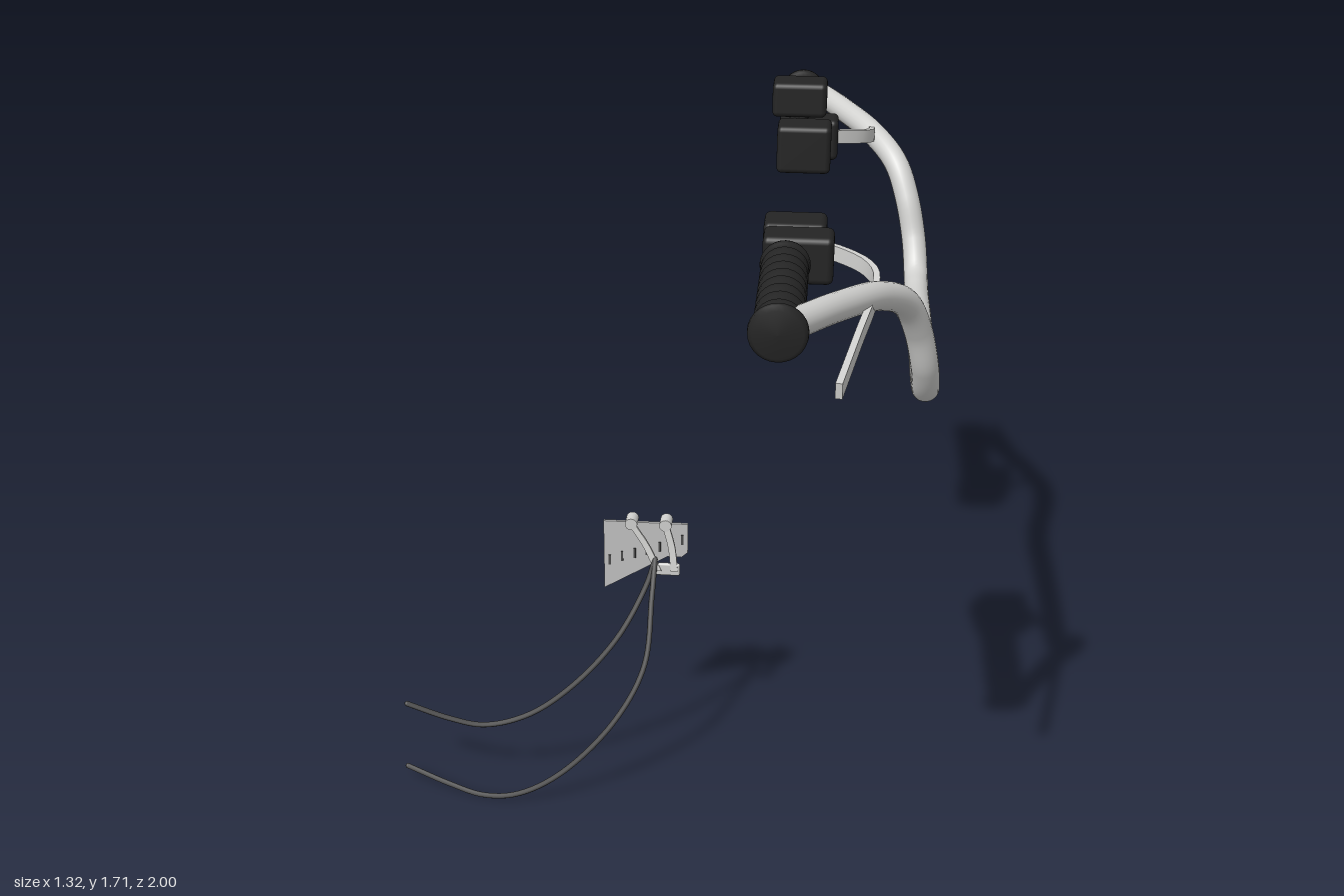
import * as THREE from 'three';
import { RoundedBoxGeometry } from 'three/addons/geometries/RoundedBoxGeometry.js';

const V = (x, y, z) => new THREE.Vector3(x, y, z);
const makeMat = (name, color, side = THREE.FrontSide) => {
  const m = new THREE.MeshStandardMaterial({ color, side });
  m.name = name;
  return m;
};

export function createModel() {
  const root = new THREE.Group();
  root.name = 'handlebarAssembly';
  const metal = makeMat('brightMetal', 0xd2d2d0);
  const plateGrey = makeMat('plateGrey', 0xc2c2c2);
  const rubber = makeMat('blackRubber', 0x242424);
  const cableGrey = makeMat('cableGrey', 0x4a4a4a);

  const add = (name, geo, mat, pos = [0, 0, 0], parent = root) => {
    const m = new THREE.Mesh(geo, mat);
    m.name = name;
    m.position.set(...pos);
    parent.add(m);
    return m;
  };
  const curveOf = (pts) => new THREE.CatmullRomCurve3(pts.map((p) => V(...p)), false, 'centripetal');
  const block = (name, x0, x1, y0, y1, z0, z1, parent) =>
    add(name, new RoundedBoxGeometry(x1 - x0, y1 - y0, Math.abs(z1 - z0), 3, 0.014), rubber,
      [(x0 + x1) / 2, (y0 + y1) / 2, (z0 + z1) / 2], parent);

  // Flat bar bent along a curve: thickness across, height upright
  const blade = (pts, thick, high, across) => {
    const curve = curveOf(pts);
    const geo = new THREE.BoxGeometry(thick, high, 1, 1, 1, 28);
    const p = geo.attributes.position;
    for (let i = 0; i < p.count; i++) {
      const t = p.getZ(i) + 0.5;
      const tan = curve.getTangentAt(t);
      const n = across ? across.clone() : V(0, 1, 0).cross(tan).normalize();
      const up = tan.clone().cross(n).normalize();
      const q = curve.getPointAt(t).addScaledVector(n, p.getX(i)).addScaledVector(up, p.getY(i));
      p.setXYZ(i, q.x, q.y, q.z);
    }
    geo.computeVertexNormals();
    return geo;
  };

  // Bent handlebar tube, one half mirrored in z
  const half = [
    [0.62, 1.212, 0.12], [0.62, 1.209, 0.29], [0.62, 1.225, 0.37], [0.612, 1.30, 0.428],
    [0.59, 1.40, 0.462], [0.558, 1.48, 0.51], [0.5, 1.53, 0.6], [0.41, 1.56, 0.75], [0.33, 1.575, 0.885],
  ];
  const barPts = [...half.map(([x, y, z]) => [x, y, -z]).reverse(), [0.62, 1.213, 0], ...half];
  add('handlebar', new THREE.TubeGeometry(curveOf(barPts), 140, 0.031, 20), metal);
  for (const s of [-1, 1]) add('handlebarEnd', new THREE.SphereGeometry(0.031, 20, 14), metal, [0.33, 1.575, s * 0.885]);

  // Ribbed grip profile with flanges at both ends
  const profile = [[0, 0], [0.052, 0], [0.054, 0.008], [0.052, 0.02]];
  for (let i = 0; i < 8; i++) {
    const y = 0.025 + i * 0.043;
    profile.push([0.046, y], [0.051, y + 0.012], [0.051, y + 0.026], [0.046, y + 0.038]);
  }
  profile.push([0.055, 0.374], [0.06, 0.384], [0.059, 0.394], [0.05, 0.402], [0, 0.404]);

  for (const s of [-1, 1]) {
    const side = new THREE.Group();
    side.name = s > 0 ? 'frontControls' : 'backControls';
    root.add(side);
    const grip = add('grip', new THREE.LatheGeometry(profile.map(([r, y]) => new THREE.Vector2(r, y)), 28),
      rubber, [0.3, 1.565, s * 0.522], side);
    grip.rotation.x = s * Math.PI / 2;
    // Control housings between the grip and the bar centre
    block('switchHousing', 0.248, 0.385, 1.498, 1.62, s * 0.33, s * 0.43, side);
    block('leverClamp', 0.25, 0.402, 1.51, 1.615, s * 0.415, s * 0.505, side);
    const lever = [[0.39, 1.568, 0.44], [0.42, 1.565, 0.457], [0.468, 1.556, 0.495], [0.49, 1.547, 0.54],
      [0.488, 1.535, 0.61], [0.455, 1.512, 0.8], [0.42, 1.487, 0.998]];
    add('lever', blade(lever.map(([x, y, z]) => [x, y, s * z]), 0.014, 0.034), metal, [0, 0, 0], side);
    if (s < 0) {
      block('fluidReservoir', 0.231, 0.37, 1.622, 1.71, -0.41, -0.51, side);
      add('reservoirNeck', new THREE.CylinderGeometry(0.03, 0.03, 0.05, 16), rubber, [0.3, 1.617, -0.46], side);
    }
  }

  // Mounting plate with a slanted lower edge
  const bracket = new THREE.Group();
  bracket.name = 'cableBracket';
  root.add(bracket);
  const outline = new THREE.Shape([[-0.157, 0.487], [0.008, 0.588], [0.045, 0.588], [0.061, 0.603],
    [0.061, 0.685], [-0.157, 0.685]].map(([x, y]) => new THREE.Vector2(x, y)));
  add('mountingPlate', new THREE.ExtrudeGeometry(outline, { depth: 0.008, bevelEnabled: false }),
    plateGrey, [0, 0, 0.06], bracket);
  for (const [x, y] of [[-0.142, 0.572], [-0.11, 0.584], [-0.077, 0.595], [-0.045, 0.605], [-0.012, 0.616], [0.047, 0.64]])
    add('slot', new THREE.BoxGeometry(0.006, 0.028, 0.003), cableGrey, [x, y, 0.069], bracket);

  // Two pivot pins with arms reaching down to the cable anchor
  for (const [x, bx] of [[-0.082, -0.012], [0.006, 0.03]]) {
    const pin = add('pivotPin', new THREE.CylinderGeometry(0.016, 0.016, 0.04, 16), metal, [x, 0.695, 0.081], bracket);
    pin.rotation.x = Math.PI / 2;
    add('anchorArm', blade([[x, 0.695, 0.094], [(x + bx) / 2 + 0.004, 0.635, 0.1], [bx, 0.57, 0.11]],
      0.018, 0.008, V(1, 0, 0)), metal, [0, 0, 0], bracket);
  }
  add('cableAnchor', new RoundedBoxGeometry(0.068, 0.034, 0.012, 2, 0.005), metal, [0.01, 0.572, 0.104], bracket);

  // Hanging cables
  const cables = {
    upperCable: [[-0.02, 0.6, 0.105], [-0.04, 0.537, 0.13], [-0.11, 0.41, 0.19], [-0.22, 0.29, 0.238],
      [-0.335, 0.21, 0.266], [-0.45, 0.18, 0.28], [-0.54, 0.197, 0.284], [-0.65, 0.238, 0.288]],
    lowerCable: [[-0.02, 0.6, 0.105], [-0.024, 0.514, 0.153], [-0.036, 0.356, 0.235], [-0.11, 0.22, 0.297],
      [-0.245, 0.085, 0.345], [-0.357, 0.025, 0.36], [-0.448, 0.01, 0.352], [-0.54, 0.021, 0.328], [-0.66, 0.04, 0.286]],
  };
  for (const [name, pts] of Object.entries(cables)) {
    add(name, new THREE.TubeGeometry(curveOf(pts), 60, 0.007, 8), cableGrey);
    for (const p of [pts[0], pts.at(-1)]) add(name + 'Tip', new THREE.SphereGeometry(0.007, 8, 6), cableGrey, p);
  }
  return root;
}
